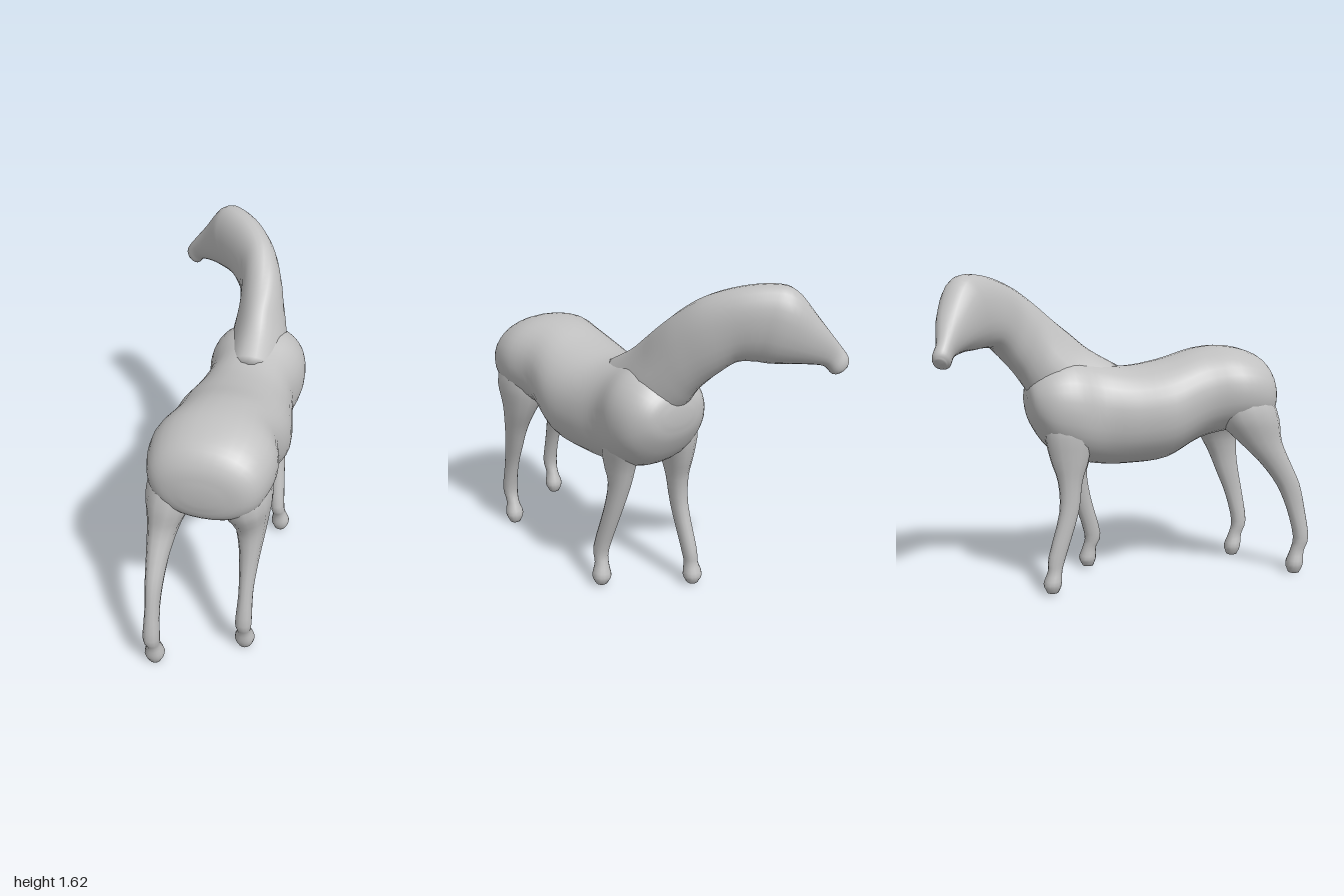
import * as THREE from 'three';

const V = (x, y, z) => new THREE.Vector3(x, y, z);

// Smooth closed loft. Each section: upper point, lower point, half width, narrowing of the upper half.
function loft(sections, steps, sides) {
  const curve = (f) => new THREE.CatmullRomCurve3(sections.map(f), false, 'catmullrom', 0.5);
  const tops = curve((s) => V(...s[0]));
  const bottoms = curve((s) => V(...s[1]));
  const widths = curve((s) => V(s[2], s[3] || 0, 0));
  const n = (sections.length - 1) * steps;
  const mid = (t) => tops.getPoint(t).add(bottoms.getPoint(t)).multiplyScalar(0.5);
  const round = (v) => Math.sign(v) * Math.abs(v) ** 0.92;
  const pos = [];
  const index = [];
  for (let i = 0; i <= n; i++) {
    const t = i / n;
    const c = mid(t);
    const up = tops.getPoint(t).sub(c);
    const tangent = mid(Math.min(1, t + 0.004)).sub(mid(Math.max(0, t - 0.004)));
    const side = tangent.cross(up).normalize();
    const w = widths.getPoint(t);
    for (let j = 0; j < sides; j++) {
      const a = (j / sides) * Math.PI * 2;
      const s = round(Math.sin(a));
      const half = w.x * round(Math.cos(a)) * (1 - w.y * Math.max(0, s));
      const p = c.clone().addScaledVector(side, half).addScaledVector(up, s);
      pos.push(p.x, p.y, p.z);
    }
  }
  const first = pos.length / 3;
  pos.push(...mid(0).toArray(), ...mid(1).toArray());
  for (let j = 0; j < sides; j++) {
    const k = (j + 1) % sides;
    for (let i = 0; i < n; i++) {
      const a = i * sides + j, b = i * sides + k;
      index.push(a, a + sides, b, b, a + sides, b + sides);
    }
    index.push(first, j, k, first + 1, n * sides + k, n * sides + j);
  }
  const g = new THREE.BufferGeometry();
  g.setAttribute('position', new THREE.Float32BufferAttribute(pos, 3));
  g.setIndex(index);
  g.computeVertexNormals();
  return g;
}

// Rump, barrel and chest: z, top, bottom, half width
const TORSO = [
  [0.81, 1.02, 0.93, 0.07],
  [0.787, 1.12, 0.85, 0.2],
  [0.715, 1.2, 0.8, 0.268],
  [0.56, 1.245, 0.79, 0.295],
  [0.39, 1.235, 0.75, 0.262],
  [0.2, 1.18, 0.655, 0.285],
  [0.01, 1.15, 0.635, 0.255],
  [-0.15, 1.17, 0.64, 0.228],
  [-0.3, 1.2, 0.675, 0.252],
  [-0.42, 1.17, 0.74, 0.232],
  [-0.5, 1.1, 0.86, 0.165],
  [-0.525, 1.03, 0.95, 0.07],
];

// Neck and head: upper point, lower point, half width, narrowing
const NECK = [
  [[0.15, 1.15, -0.03], [0.14, 0.85, -0.28], 0.15, 0.2],
  [[0.14, 1.24, -0.19], [0.13, 0.93, -0.42], 0.15, 0.3],
  [[0.13, 1.32, -0.29], [0.12, 1, -0.49], 0.138, 0.3],
  [[0.125, 1.4, -0.39], [0.1, 1.06, -0.535], 0.12, 0.1],
  [[0.11, 1.48, -0.49], [0.07, 1.125, -0.575], 0.108],
  [[0.07, 1.555, -0.6], [0.02, 1.2, -0.635], 0.1],
  [[-0.02, 1.605, -0.72], [-0.045, 1.265, -0.69], 0.1],
  [[-0.13, 1.622, -0.82], [-0.095, 1.275, -0.75], 0.103],
  [[-0.205, 1.595, -0.88], [-0.14, 1.27, -0.8], 0.105],
  [[-0.3, 1.475, -0.925], [-0.24, 1.267, -0.87], 0.08],
  [[-0.41, 1.345, -0.95], [-0.34, 1.25, -0.93], 0.044],
  [[-0.447, 1.29, -0.97], [-0.38, 1.21, -0.955], 0.042],
  [[-0.45, 1.255, -0.975], [-0.415, 1.215, -0.965], 0.025],
];

// Leg pairs from top to hoof: y, half width, half depth, z of the left leg, z of the right leg
const HIND = [
  [1.1, 0.06, 0.1, 0.58, 0.6],
  [0.98, 0.112, 0.16, 0.595, 0.61],
  [0.86, 0.115, 0.165, 0.605, 0.645],
  [0.74, 0.078, 0.115, 0.605, 0.71],
  [0.62, 0.055, 0.082, 0.638, 0.797],
  [0.5, 0.042, 0.065, 0.672, 0.872],
  [0.36, 0.034, 0.05, 0.715, 0.922],
  [0.2, 0.04, 0.042, 0.748, 0.958],
  [0.12, 0.034, 0.038, 0.727, 0.938],
  [0.05, 0.049, 0.047, 0.711, 0.924],
  [0, 0.03, 0.03, 0.708, 0.922],
];
const FORE = [
  [1.02, 0.04, 0.07, -0.3, -0.32],
  [0.86, 0.09, 0.12, -0.27, -0.33],
  [0.7, 0.07, 0.1, -0.235, -0.325],
  [0.58, 0.052, 0.063, -0.24, -0.325],
  [0.42, 0.042, 0.05, -0.205, -0.335],
  [0.2, 0.037, 0.045, -0.14, -0.4],
  [0.12, 0.035, 0.037, -0.155, -0.415],
  [0.055, 0.049, 0.047, -0.165, -0.428],
  [0.01, 0.03, 0.03, -0.163, -0.428],
];

// One leg of a pair; x moves from hip to hoof while y falls from high to low
function leg(rows, zColumn, hipX, hoofX, high, low) {
  return loft(rows.map((row) => {
    const [y, halfWidth, halfDepth] = row;
    const z = row[zColumn];
    const x = THREE.MathUtils.lerp(hipX, hoofX, THREE.MathUtils.clamp((high - y) / (high - low), 0, 1));
    return [[x, y, z + halfDepth], [x, y, z - halfDepth], halfWidth];
  }), 3, 14);
}

export function createModel() {
  const group = new THREE.Group();
  group.name = 'horse';
  const grey = new THREE.MeshStandardMaterial({ color: 0xc0c0c0 });
  grey.name = 'grey';

  const add = (name, geometry) => {
    const mesh = new THREE.Mesh(geometry, grey);
    mesh.name = name;
    group.add(mesh);
  };

  // The body leans slightly to one side towards the chest
  const torso = TORSO.map(([z, top, bottom, half]) => {
    const x = 0.143 + 0.018 * z;
    return [[x, top, z], [x, bottom, z], half];
  });
  add('body', loft(torso, 4, 32));
  add('neckAndHead', loft(NECK, 4, 24));
  add('leftHindLeg', leg(HIND, 3, 0.3, 0.355, 1, 0.7));
  add('rightHindLeg', leg(HIND, 4, 0, -0.04, 1, 0.7));
  add('leftForeLeg', leg(FORE, 3, 0.268, 0.334, 0.62, 0.05));
  add('rightForeLeg', leg(FORE, 4, 0, -0.048, 0.9, 0.1));
  return group;
}
